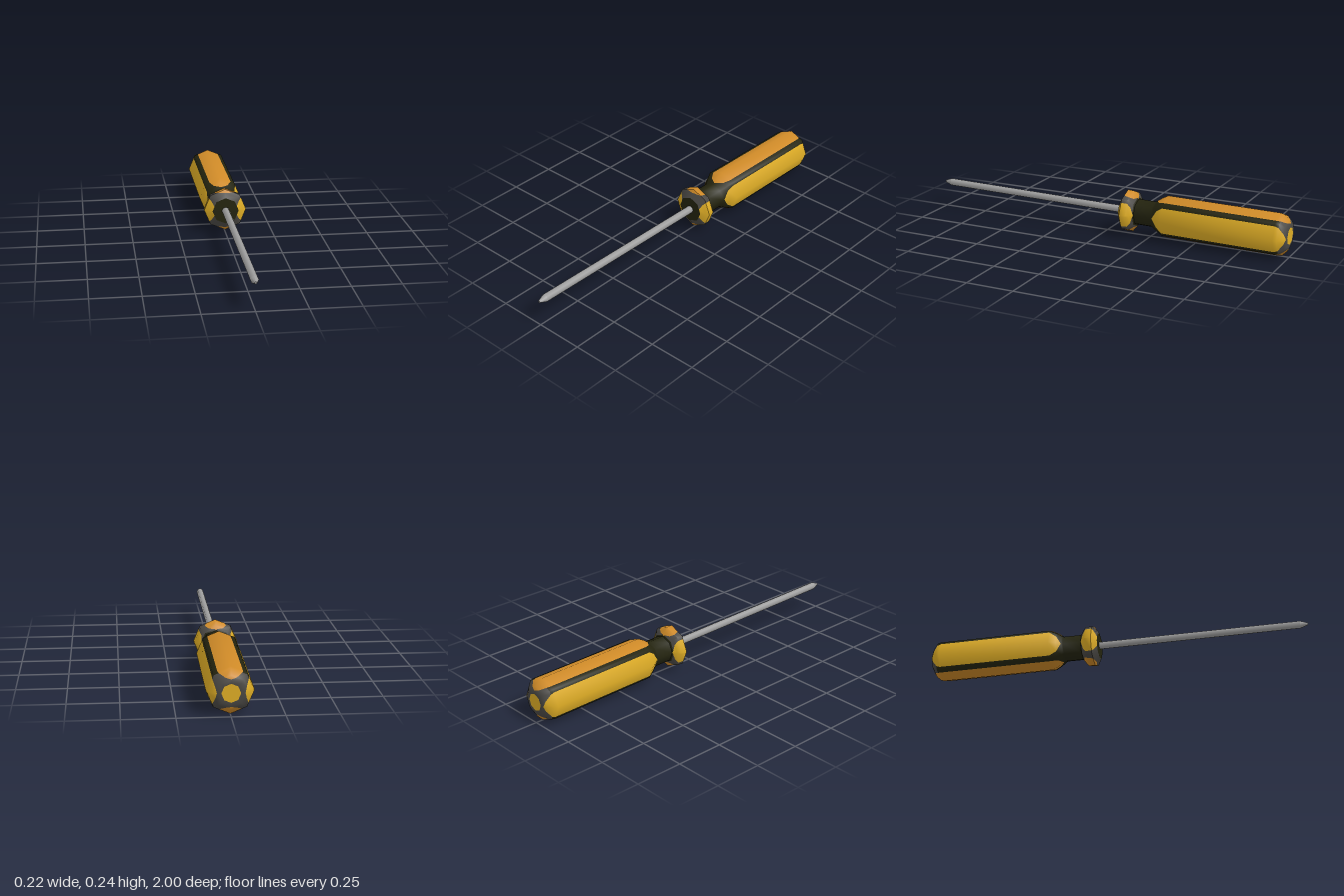
import * as THREE from 'three';
import { toCreasedNormals } from 'three/addons/utils/BufferGeometryUtils.js';

function material(name, color) {
  const m = new THREE.MeshStandardMaterial({ color });
  m.name = name;
  return m;
}

// Octagonal ring around z: each quarter holds a coloured patch reaching the
// fraction f from its axis corner towards the diagonal corners.
function ring(z, r, fSide, fTop) {
  const corner = (i) => new THREE.Vector3(
    r * Math.cos(i * Math.PI / 4), r * Math.sin(i * Math.PI / 4), z);
  const pts = [];
  for (let q = 0; q < 4; q++) {
    const f = q % 2 ? fTop : fSide;
    const axis = corner(2 * q), before = corner(2 * q - 1), after = corner(2 * q + 1);
    pts.push(before, axis.clone().lerp(before, f), axis, axis.clone().lerp(after, f));
  }
  return pts;
}

// Loft stations [z, radius, side patch, top patch, base material index]
function loft(stations) {
  const buckets = [[], [], [], []];
  const rings = stations.map(([z, r, a, b]) => ring(z, r, a, b));
  for (let s = 0; s < stations.length - 1; s++) {
    for (let k = 0; k < 16; k++) {
      const n = (k + 1) % 16;
      const isPatch = k % 4 === 1 || k % 4 === 2;
      const mat = isPatch ? (k >> 2) % 2 : stations[s][4];
      const a = rings[s][k], b = rings[s][n], c = rings[s + 1][n], d = rings[s + 1][k];
      for (const [p, q, t] of [[a, b, c], [a, c, d]]) {
        const area = q.clone().sub(p).cross(t.clone().sub(p)).length();
        if (area < 1e-9) continue;
        for (const v of [p, q, t]) buckets[mat].push(v.x, v.y, v.z);
      }
    }
  }
  const geo = new THREE.BufferGeometry();
  geo.setAttribute('position', new THREE.Float32BufferAttribute(buckets.flat(), 3));
  let start = 0;
  buckets.forEach((list, i) => {
    if (list.length) geo.addGroup(start, list.length / 3, i);
    start += list.length / 3;
  });
  return toCreasedNormals(geo, 0.9);
}

export function createModel() {
  const yellow = material('yellow', 0xe0ae26);
  const orange = material('orange', 0xd08b28);
  const black = material('oliveBlack', 0x24240f);
  const grey = material('darkGrey', 0x4a4844);
  const steel = material('steel', 0x9e9e9e);
  const palette = [yellow, orange, black, grey];
  const Y = 0, K = 2, G = 3;

  const model = new THREE.Group();
  model.name = 'screwdriver';
  const add = (name, geo, mat) => {
    const mesh = new THREE.Mesh(geo, mat);
    mesh.name = name;
    model.add(mesh);
  };

  // Grip with coloured panels, chamfered butt and flare into the neck
  add('grip', loft([
    [-1, 0.045, 0, 0, G],
    [-1, 0.065, 0, 0, G],
    [-0.99, 0.082, 0.45, 0.45, G],
    [-0.965, 0.108, 0.78, 0.7, K],
    [-0.945, 0.112, 0.84, 0.74, K],
    [-0.345, 0.112, 0.84, 0.74, K],
    [-0.31, 0.093, 0.65, 0.58, K],
    [-0.285, 0.075, 0, 0, K],
    [-0.275, 0.07, 0, 0, K],
    [-0.18, 0.07, 0, 0, K],
  ]), palette);

  // Yellow disc closing the butt
  const disc = new THREE.CircleGeometry(0.045, 8);
  disc.rotateY(Math.PI).translate(0, 0, -1);
  add('buttDisc', disc, yellow);

  // Collar in front of the neck
  add('collar', loft([
    [-0.18, 0.07, 0, 0, K],
    [-0.175, 0.078, 0.2, 0.1, G],
    [-0.165, 0.092, 0.65, 0.55, G],
    [-0.15, 0.11, 0.8, 0.7, G],
    [-0.117, 0.112, 0.8, 0.6, G],
    [-0.107, 0.095, 0.76, 0, G],
    [-0.092, 0.07, 0.5, 0, G],
  ]), palette);

  // Dark face around the shaft
  const face = new THREE.CircleGeometry(0.07, 8);
  face.translate(0, 0, -0.092);
  add('collarFace', face, black);

  // Steel shaft and its pointed tip
  const shaft = new THREE.CylinderGeometry(0.02, 0.02, 1.06, 8, 1, true);
  shaft.rotateX(Math.PI / 2).translate(0, 0, 0.43);
  add('shaft', shaft, steel);
  const tip = new THREE.CylinderGeometry(0.006, 0.02, 0.04, 8);
  tip.rotateX(Math.PI / 2).translate(0, 0, 0.98);
  add('tip', tip, steel);

  // Lies on its grip with the tip raised slightly
  model.rotation.x = -0.0145;
  model.position.y = 0.126;
  const root = new THREE.Group();
  root.name = 'model';
  root.add(model);
  return root;
}
